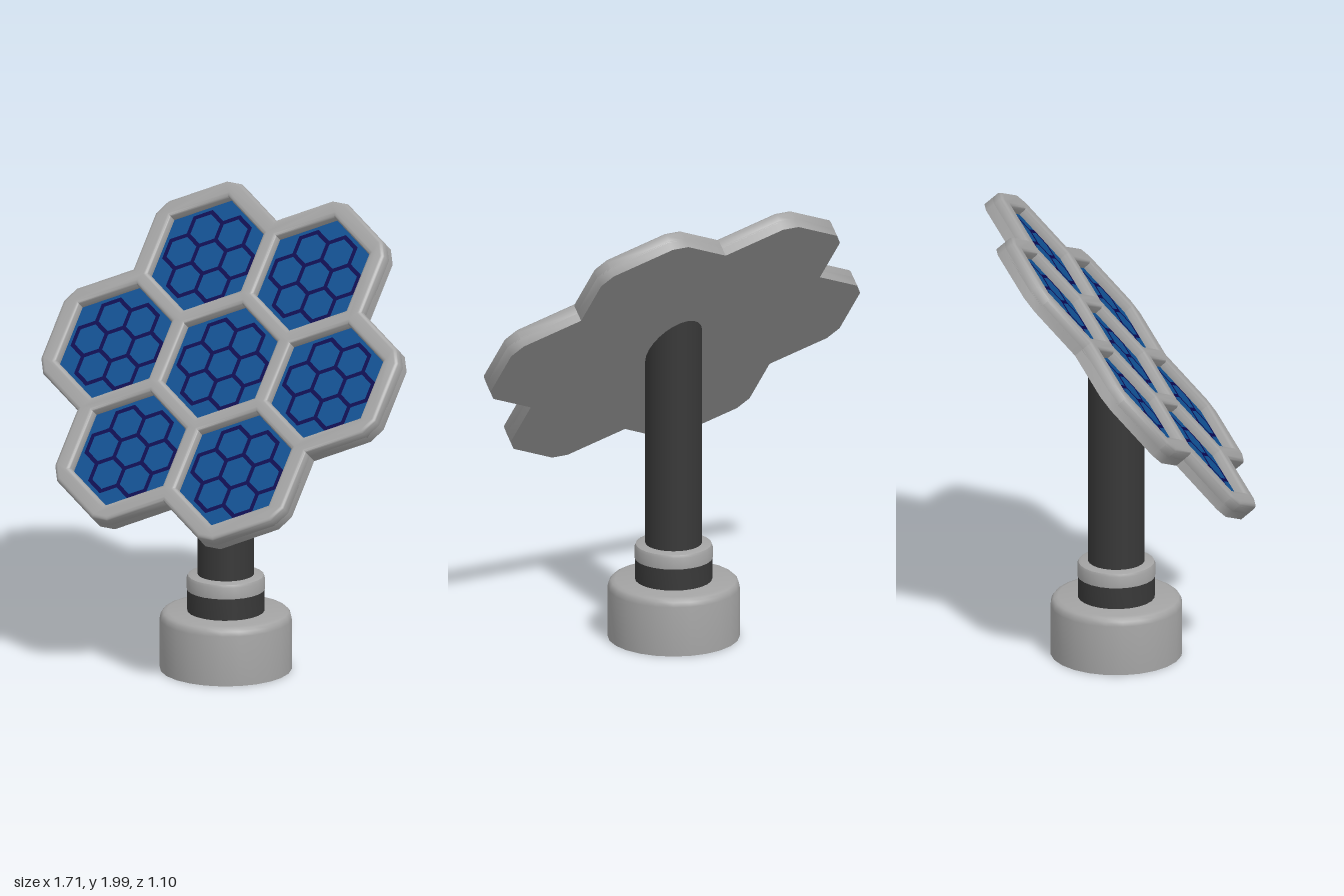
import * as THREE from 'three';
import { toCreasedNormals } from 'three/addons/utils/BufferGeometryUtils.js';

const DEG = Math.PI / 180;
const PITCH = 0.54;   // spacing of the big hexagons
const TILT = 40 * DEG;
const POLE_Z = -0.015;

const mat = (name, color) => {
  const m = new THREE.MeshStandardMaterial({ color });
  m.name = name;
  return m;
};

const polar = (r, deg) => new THREE.Vector2(r * Math.cos(deg * DEG), r * Math.sin(deg * DEG));

// Pointy-topped hexagon, given its centre and the distance to its flats
const hexPoints = (c, apothem) =>
  [0, 1, 2, 3, 4, 5].map((k) => polar(apothem / Math.cos(30 * DEG), 30 + 60 * k).add(c));

// A centre point and the six around it
const cluster = (pitch, c = new THREE.Vector2()) =>
  [c.clone(), ...[0, 1, 2, 3, 4, 5].map((k) => polar(pitch, 60 * k).add(c))];

// Outline around seven hexagons, with the outer corners clipped
function outlinePoints() {
  const pts = [];
  for (let a = 0; a < 360; a += 60) {
    const c = polar(PITCH, a);
    for (const corner of [a - 30, a + 30]) {
      for (const s of [-1, 1]) {
        pts.push(polar(0.342, corner).add(c).add(polar(0.038 * s, corner + 90)));
      }
    }
    pts.push(polar(0.6755, a + 30)); // notch between neighbours
  }
  return pts;
}

export function createModel() {
  const grey = mat('grey casing', 0xa3a3a3);
  const dark = mat('dark metal', 0x383838);
  const blue = mat('cell blue', 0x0f4f90);
  const navy = mat('cell line navy', 0x0a0850);

  const model = new THREE.Group();
  model.name = 'solarPanel';
  const add = (parent, name, geometry, material) => {
    const mesh = new THREE.Mesh(geometry, material);
    mesh.name = name;
    parent.add(mesh);
    return mesh;
  };

  // Stand: turned parts, bottom to top
  const turned = (name, profile, material) => {
    const g = new THREE.LatheGeometry(profile.map(([r, y]) => new THREE.Vector2(r, y)), 24);
    add(model, name, toCreasedNormals(g, 0.7), material).position.z = POLE_Z;
  };
  turned('base', [[0, 0], [0.282, 0], [0.282, 0.22], [0.278, 0.24], [0.268, 0.252], [0.25, 0.257], [0, 0.257]], grey);
  turned('lowerCollar', [[0, 0.25], [0.165, 0.25], [0.165, 0.355], [0, 0.355]], dark);
  turned('upperCollar', [[0, 0.352], [0.167, 0.352], [0.167, 0.402], [0.162, 0.414], [0.15, 0.419], [0, 0.419]], grey);

  // Pole: its top is cut along the slope of the panel
  const pole = new THREE.CylinderGeometry(0.121, 0.121, 1, 24);
  const p = pole.attributes.position;
  for (let i = 0; i < p.count; i++) {
    const z = p.getZ(i) + POLE_Z;
    p.setY(i, p.getY(i) > 0 ? 1.335 - (z + 0.03) / Math.tan(TILT) : 0.4);
  }
  add(model, 'pole', pole, dark).position.z = POLE_Z;

  // Tilted panel, built flat with its back at z = 0
  const panel = new THREE.Group();
  panel.name = 'panel';
  panel.position.set(0, 1.3225, -0.03);
  panel.rotation.x = -TILT;
  model.add(panel);

  const plate = new THREE.ExtrudeGeometry(new THREE.Shape(outlinePoints()), { depth: 0.045, bevelEnabled: false });
  add(panel, 'backPlate', toCreasedNormals(plate, 0.7), grey);

  // Rounded frame with seven hexagonal openings
  const centres = cluster(PITCH);
  const frameShape = new THREE.Shape(outlinePoints());
  frameShape.holes = centres.map((c) => new THREE.Path(hexPoints(c, 0.235)));
  const b = 0.018;
  const frame = new THREE.ExtrudeGeometry(frameShape, {
    depth: 0.07 - 2 * b, bevelEnabled: true, bevelSize: b, bevelThickness: b, bevelOffset: -b, bevelSegments: 4,
  });
  frame.translate(0, 0, 0.02 + b);
  add(panel, 'frame', toCreasedNormals(frame, 0.7), grey);

  // Blue faces, each with a cluster of seven outlined cells
  const faces = centres.map((c) => new THREE.Shape(hexPoints(c, 0.238)));
  add(panel, 'cellFaces', new THREE.ShapeGeometry(faces), blue).position.z = 0.047;

  const rings = centres.flatMap((c) => cluster(0.14, c)).map((c) => {
    const ring = new THREE.Shape(hexPoints(c, 0.079));
    ring.holes = [new THREE.Path(hexPoints(c, 0.061))];
    return ring;
  });
  add(panel, 'cellLines', new THREE.ShapeGeometry(rings), navy).position.z = 0.05;

  return model;
}
